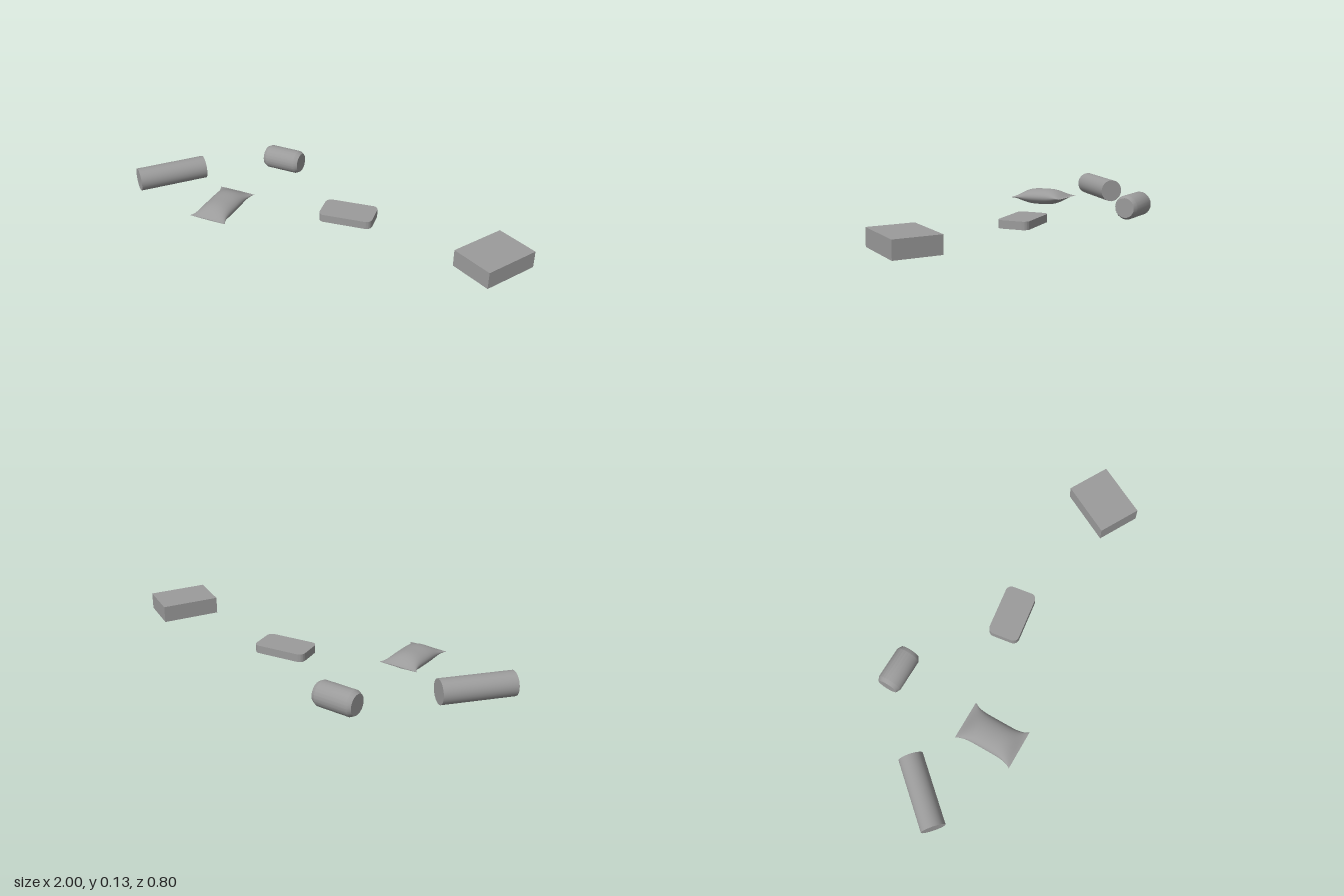
import * as THREE from 'three';
import { toCreasedNormals } from 'three/addons/utils/BufferGeometryUtils.js';

const color = 0x9b9b9b;
const material = new THREE.MeshStandardMaterial({ color });
const thinMaterial = new THREE.MeshStandardMaterial({ color, side: THREE.DoubleSide });

// Pillow bag: an open tube along z, squeezed flat and flared at both sealed ends
function pillowGeometry(length, halfWidth, flare, halfHeight) {
  const geo = new THREE.CylinderGeometry(1, 1, 2, 32, 32, true).rotateX(Math.PI / 2);
  const pos = geo.attributes.position;
  for (let i = 0; i < pos.count; i++) {
    const v = pos.getZ(i), a = Math.min(1, Math.abs(v));
    const width = halfWidth + flare * a ** 5;
    const height = 0.002 + halfHeight * (1 - a ** 3.5) ** 1.5;
    pos.setXYZ(i, pos.getX(i) * width, pos.getY(i) * height, v * length / 2);
  }
  geo.computeVertexNormals();
  return geo;
}

// Flat slab with rounded corners in plan, centred on its own origin
function slabGeometry(w, d, r, height) {
  const x = w / 2, y = d / 2, s = new THREE.Shape();
  s.absarc(x - r, y - r, r, 0, Math.PI / 2);
  s.absarc(-x + r, y - r, r, Math.PI / 2, Math.PI);
  s.absarc(-x + r, -y + r, r, Math.PI, Math.PI * 1.5);
  s.absarc(x - r, -y + r, r, Math.PI * 1.5, Math.PI * 2);
  s.closePath();
  const geo = new THREE.ExtrudeGeometry(s, { depth: height, bevelEnabled: false, curveSegments: 6 });
  geo.rotateX(-Math.PI / 2).translate(0, -height / 2, 0);
  return toCreasedNormals(geo, 0.6);
}

// Can lying along x, with chamfered rims
function canGeometry(length, radius, endRadius, chamfer) {
  const h = length / 2;
  const profile = [[0, -h], [endRadius, -h], [radius, -h + chamfer],
    [radius, h - chamfer], [endRadius, h], [0, h]].map(p => new THREE.Vector2(...p));
  return toCreasedNormals(new THREE.LatheGeometry(profile, 24).rotateZ(Math.PI / 2), 0.5);
}

export function createModel() {
  const group = new THREE.Group();
  const add = (name, geo, position, turn, tilt = 0, mat = material) => {
    const mesh = new THREE.Mesh(geo, mat);
    mesh.name = name;
    mesh.position.set(...position);
    mesh.rotation.set(tilt, turn, 0, 'YXZ');
    group.add(mesh);
  };

  // Items scattered on the ground
  add('tube', new THREE.CylinderGeometry(0.059, 0.059, 0.352, 32).rotateZ(Math.PI / 2),
    [-0.866, 0.074, 0.179], 1.074);
  add('can', canGeometry(0.204, 0.061, 0.05, 0.02), [-0.513, 0.061, -0.325], 0.21);
  add('pillowBag', pillowGeometry(0.294, 0.078, 0.021, 0.04),
    [-0.448, 0.058, 0.234], 0.22, 0.03, thinMaterial);
  add('roundedSlab', slabGeometry(0.27, 0.157, 0.03, 0.04), [0.077, 0.032, -0.115], 0.35);
  add('box', new THREE.BoxGeometry(0.222, 0.085, 0.292), [0.852, 0.055, -0.179], -0.284, -0.01);
  return group;
}
